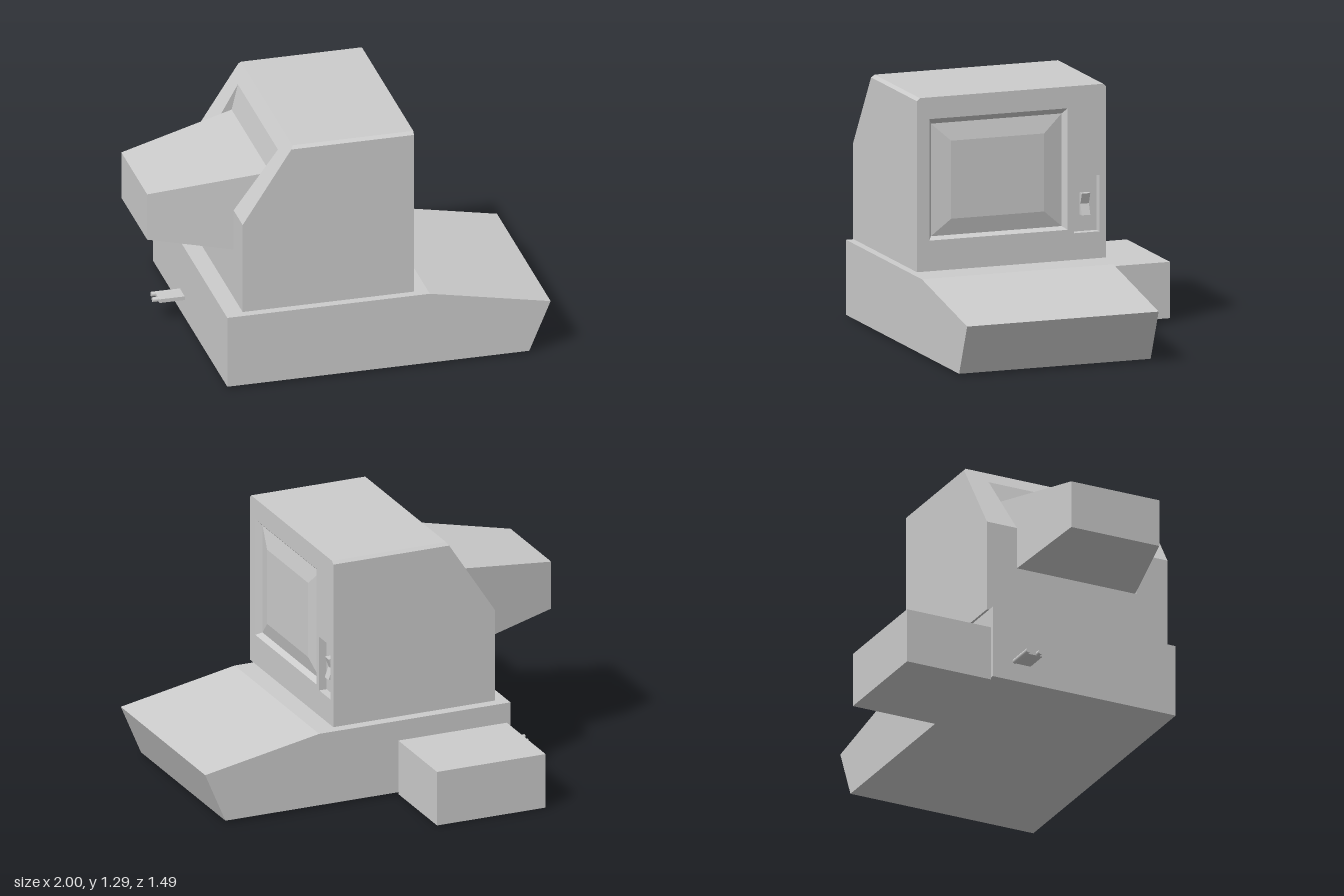
import * as THREE from 'three';

const casing = new THREE.MeshStandardMaterial({ color: 0xcccccc, side: THREE.DoubleSide });
casing.name = 'grey casing';

// Corner loop of a rectangle at a given x, counter-clockwise seen from +x
const frontLoop = (x, z0, z1, y0, y1) => [[x, y0, z1], [x, y0, z0], [x, y1, z0], [x, y1, z1]];
// The same, counter-clockwise seen from -x
const backLoop = (x, z0, z1, y0, y1) => [[x, y0, z0], [x, y0, z1], [x, y1, z1], [x, y1, z0]];

// Band of four faces joining two corner loops
const band = (a, b) => a.map((p, i) => [p, a[(i + 1) % 4], b[(i + 1) % 4], b[i]]);

// Flat-shaded geometry from triangles and quads
function facets(faces) {
  const pos = [];
  for (const f of faces) {
    for (let i = 1; i < f.length - 1; i++) pos.push(...f[0], ...f[i], ...f[i + 1]);
  }
  const g = new THREE.BufferGeometry();
  g.setAttribute('position', new THREE.Float32BufferAttribute(pos, 3));
  g.computeVertexNormals();
  return g;
}

function polygon(points) {
  return new THREE.Shape(points.map(([x, y]) => new THREE.Vector2(x, y)));
}

// Side profile (x, y) extruded from z0 to z1
function slab(points, z0, z1) {
  return new THREE.ExtrudeGeometry(polygon(points), { depth: z1 - z0, bevelEnabled: false }).translate(0, 0, z0);
}

function box(x0, x1, y0, y1, z0, z1) {
  return new THREE.BoxGeometry(x1 - x0, y1 - y0, z1 - z0)
    .translate((x0 + x1) / 2, (y0 + y1) / 2, (z0 + z1) / 2);
}

export function createModel() {
  const model = new THREE.Group();
  model.name = 'computerTerminal';
  const add = (name, geometry, parent = model) => {
    const mesh = new THREE.Mesh(geometry, casing);
    mesh.name = name;
    parent.add(mesh);
  };

  // Wedge-shaped base and the box standing beside it
  add('keyboardBase', slab([[-0.66, 0.01], [0.89, 0.01], [1, 0.27], [0.38, 0.39], [-0.66, 0.39]], -0.278, 0.74));
  add('sideBox', box(-0.64, -0.05, 0, 0.285, -0.745, -0.278));

  const monitor = new THREE.Group();
  monitor.name = 'monitor';
  model.add(monitor);
  const zR = -0.27, zL = 0.735, c = 0.015;   // monitor sides and top chamfer
  const sideProfile = [[-0.58, 0.41], [0.3, 0.41], [0.3, 1.29 - c], [-0.33, 1.29 - c], [-0.58, 0.89]];

  // Front panel with openings for screen and switch
  const front = polygon([[-zL, 0.41], [-zR, 0.41], [-zR, 1.29 - c], [-zR - c, 1.29], [-zL + c, 1.29], [-zL, 1.29 - c]]);
  for (const [z0, z1, y0, y1] of [[-0.065, 0.67, 0.565, 1.18], [-0.235, -0.1, 0.545, 0.83]]) {
    front.holes.push(polygon([[-z0, y0], [-z1, y0], [-z1, y1], [-z0, y1]]));
  }
  add('frontPanel', new THREE.ShapeGeometry(front).rotateY(Math.PI / 2).translate(0.3, 0, 0), monitor);

  // Top, bottom, and back panel around the opening for the tube housing
  const oR = -0.103, oL = 0.563, tR = -0.15, tL = 0.61;   // opening sides at its bend and top
  const shell = [
    [[-0.58, 0.41, zR], [0.3, 0.41, zR], [0.3, 0.41, zL], [-0.58, 0.41, zL]],
    [[-0.32, 1.29, zL - c], [0.3, 1.29, zL - c], [0.3, 1.29, zR + c], [-0.32, 1.29, zR + c]],
    [[-0.58, 0.41, zR], [-0.58, 0.41, zL], [-0.58, 0.67, zL], [-0.58, 0.67, zR]],
    [[-0.365, 1.22, tR], [-0.365, 1.22, tL], [-0.32, 1.29, zL - c], [-0.32, 1.29, zR + c]],
  ];
  // Faces that differ between the two sides; order is flipped on the right side
  for (const [z, s, o, t] of [[zL, -1, oL, tL], [zR, 1, oR, tR]]) {
    const inner = z === zL ? 0.59 : -0.14;
    const faces = [
      sideProfile.map(([x, y]) => [x, y, z]),
      [[-0.33, 1.29 - c, z], [0.3, 1.29 - c, z], [0.3, 1.29, z + s * c], [-0.32, 1.29, z + s * c]],
      [[-0.58, 0.67, o], [-0.58, 0.67, z], [-0.58, 0.89, z], [-0.58, 0.89, o]].reverse(),
      [[-0.58, 0.89, o], [-0.58, 0.89, z], [-0.33, 1.29 - c, z], [-0.32, 1.29, z + s * c], [-0.365, 1.22, t]].reverse(),
      [[-0.58, 0.89, o], [-0.365, 1.22, t], [-0.4, 1.09, inner]],
    ];
    shell.push(...faces.map(f => (z === zL ? f : f.reverse())));
  }
  // Rear wall of the recess above the tube housing
  shell.push([[-0.4, 1.09, -0.14], [-0.4, 1.09, 0.59], [-0.365, 1.22, tL], [-0.365, 1.22, tR]]);
  add('monitorShell', facets(shell), monitor);

  // Sloping bezel and bulging screen
  const rim = frontLoop(0.27, -0.045, 0.65, 0.58, 1.15);
  const bulge = frontLoop(0.29, 0.055, 0.55, 0.665, 1.06);
  add('screenBezel', facets(band(frontLoop(0.3, -0.065, 0.67, 0.565, 1.18), rim)), monitor);
  add('screen', facets([...band(rim, bulge), bulge]), monitor);

  // Recessed rocker switch
  const slotFloor = frontLoop(0.26, -0.235, -0.1, 0.545, 0.83);
  add('switchRecess', facets([...band(frontLoop(0.3, -0.235, -0.1, 0.545, 0.83), slotFloor), slotFloor]), monitor);
  add('rockerSwitch', slab([[0.26, 0.63], [0.29, 0.63], [0.27, 0.685], [0.29, 0.74], [0.26, 0.74]], -0.19, -0.145), monitor);

  // Tapered housing of the picture tube
  const tubeEnd = backLoop(-1, -0.015, 0.475, 0.74, 0.99);
  add('tubeHousing', facets([...band(backLoop(-0.4, -0.14, 0.59, 0.64, 1.09), tubeEnd), tubeEnd]), monitor);

  // Rear connector with two prongs
  const connector = new THREE.Group();
  connector.name = 'rearConnector';
  model.add(connector);
  add('connectorPlate', box(-0.79, -0.66, 0.106, 0.126, -0.15, -0.068), connector);
  for (const [x0, x1, z] of [[-0.81, -0.66, -0.155], [-0.82, -0.78, -0.093]]) {
    const prong = new THREE.CylinderGeometry(0.013, 0.013, x1 - x0, 8).rotateZ(Math.PI / 2);
    add('connectorProng', prong.translate((x0 + x1) / 2, 0.116, z), connector);
  }
  return model;
}
